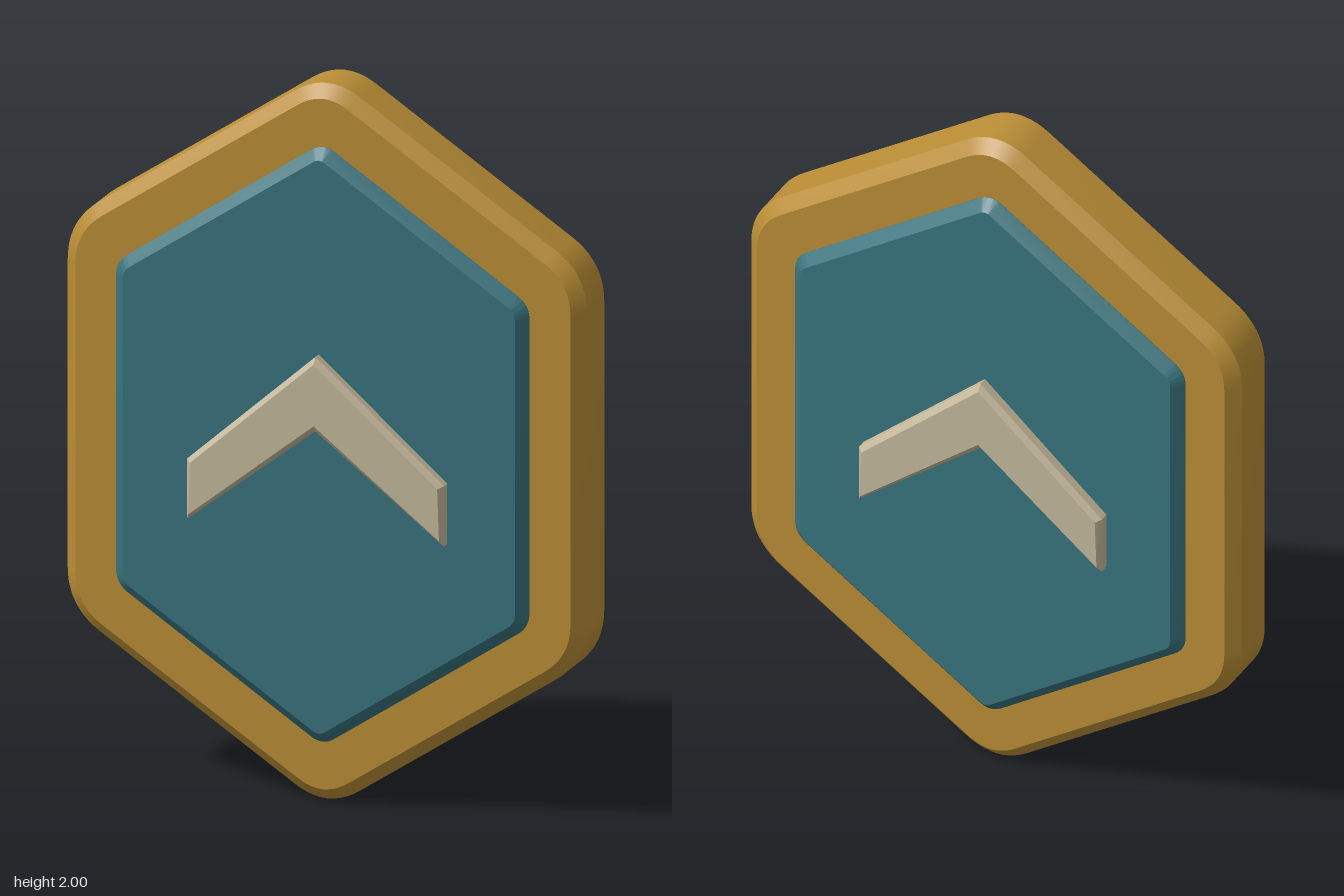
import * as THREE from 'three';
import { toCreasedNormals } from 'three/addons/utils/BufferGeometryUtils.js';

const gold = new THREE.MeshStandardMaterial({ name: 'gold', color: 0xb98d35 });
const teal = new THREE.MeshStandardMaterial({ name: 'teal', color: 0x38737d });
const ivory = new THREE.MeshStandardMaterial({ name: 'ivory', color: 0xc4b89b });

// Closed outline whose corners are rounded, starting d away from each corner
function roundedShape(corners, d) {
  const pts = corners.map(([x, y]) => new THREE.Vector2(x, y));
  const shape = new THREE.Shape();
  pts.forEach((p, i) => {
    const prev = pts[(i + pts.length - 1) % pts.length];
    const next = pts[(i + 1) % pts.length];
    const a = prev.clone().sub(p).setLength(d).add(p);
    const b = next.clone().sub(p).setLength(d).add(p);
    if (i === 0) shape.moveTo(a.x, a.y);
    else shape.lineTo(a.x, a.y);
    shape.quadraticCurveTo(p.x, p.y, b.x, b.y);
  });
  shape.closePath();
  return shape;
}

// Upright hexagon around y = 1: half width, shoulder height and tip height above centre
function hexagon(w, shoulder, tip, d) {
  return roundedShape([
    [w, 1 - shoulder], [w, 1 + shoulder], [0, 1 + tip],
    [-w, 1 + shoulder], [-w, 1 - shoulder], [0, 1 - tip],
  ], d);
}

// Slab centred on z = 0 with chamfered edges inside the outline
function slab(name, shape, halfDepth, bevel, material) {
  const geometry = new THREE.ExtrudeGeometry(shape, {
    depth: 2 * (halfDepth - bevel),
    bevelThickness: bevel,
    bevelSize: bevel,
    bevelOffset: -bevel,
    bevelSegments: 1,
    curveSegments: 10,
  });
  geometry.translate(0, 0, bevel - halfDepth);
  const mesh = new THREE.Mesh(toCreasedNormals(geometry, 0.5), material);
  mesh.name = name;
  return mesh;
}

export function createModel() {
  const group = new THREE.Group();
  group.name = 'shieldBadge';

  // Thick outer body and the raised panel showing on both faces
  group.add(slab('frame', hexagon(0.742, 0.54, 1.03, 0.11), 0.1, 0.035, gold));
  group.add(slab('panel', hexagon(0.59, 0.45, 0.842, 0.04), 0.132, 0.03, teal));

  // Upward chevron standing out of the panel on both faces
  const chevron = new THREE.Shape([
    [0, 1.26], [-0.367, 0.937], [-0.367, 0.768],
    [0, 1.052], [0.367, 0.768], [0.367, 0.937],
  ].map(([x, y]) => new THREE.Vector2(x, y)));
  group.add(slab('chevron', chevron, 0.172, 0.014, ivory));

  return group;
}
